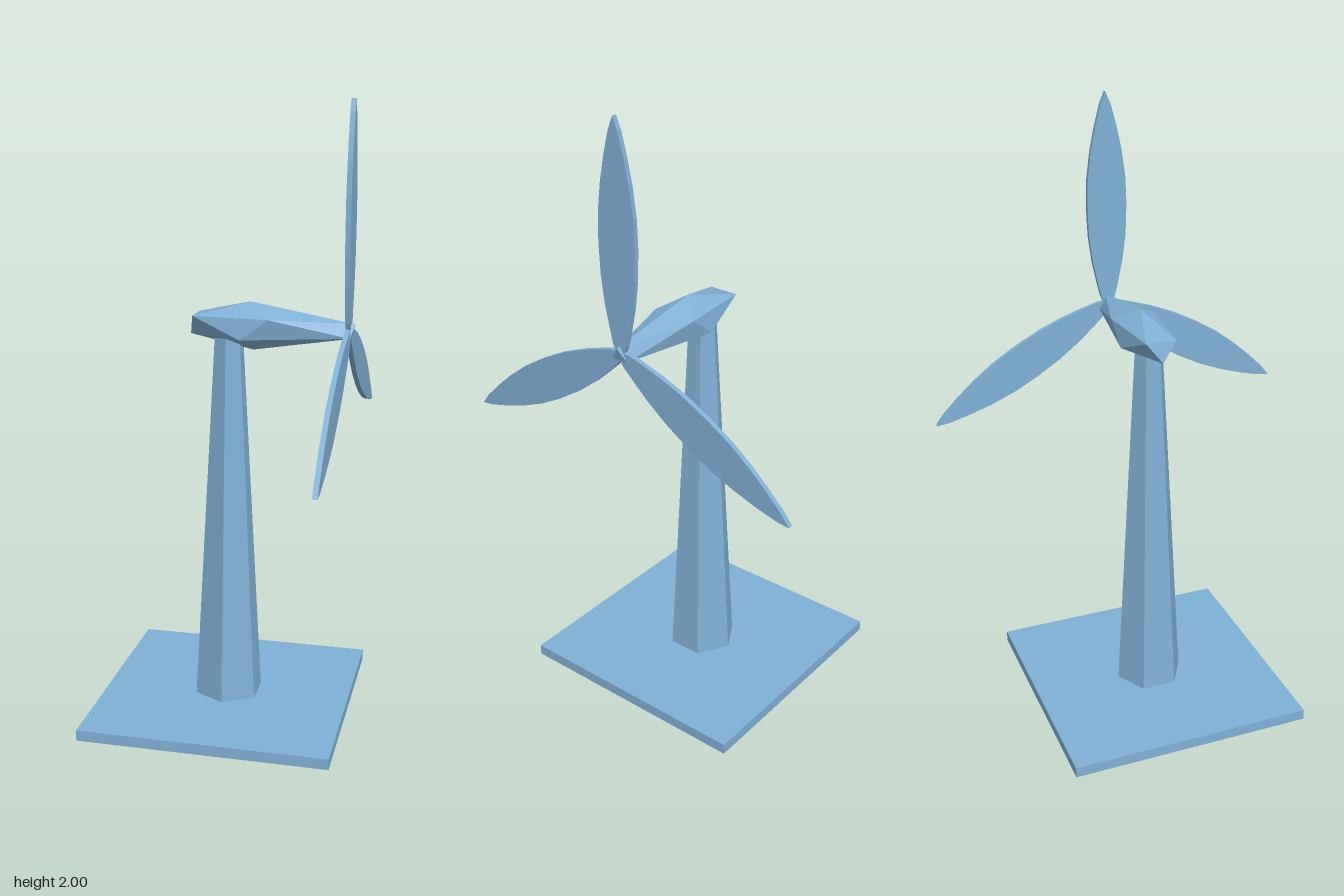
import * as THREE from 'three';
import { ConvexGeometry } from 'three/addons/geometries/ConvexGeometry.js';

const HUB = { x: 0.384, y: 1.29 };

export function createModel() {
  const group = new THREE.Group();
  const paleBlue = new THREE.MeshStandardMaterial({ color: 0x7fb0d4 });

  // Gives every face its own flat normal
  const faceted = (geometry) => {
    const flat = geometry.index ? geometry.toNonIndexed() : geometry;
    flat.computeVertexNormals();
    return flat;
  };
  const add = (name, geometry, x = 0, y = 0, z = 0) => {
    const mesh = new THREE.Mesh(faceted(geometry), paleBlue);
    mesh.name = name;
    mesh.position.set(x, y, z);
    group.add(mesh);
    return mesh;
  };

  // Square ground slab
  add('base', new THREE.BoxGeometry(0.816, 0.036, 0.816), 0, 0.018, 0);

  // Tapered six-sided tower with corners towards +z and -z
  add('tower', new THREE.CylinderGeometry(0.047, 0.115, 1.235, 6), 0, 0.6525, 0);

  // Nacelle: triangular tail, six-cornered waist, triangular nose
  const centre = [
    [-0.125, 1.265], // tail bottom
    [0.07, 1.375], // waist top
    [0.08, 1.22], // waist bottom
    [0.405, 1.315], // nose top
  ].map(([x, y]) => new THREE.Vector3(x, y, 0));
  const sides = [
    [-0.108, 1.33, 0.05], // tail
    [0.14, 1.33, 0.075], // upper waist
    [0.05, 1.262, 0.075], // lower waist
    [0.392, 1.273, 0.028], // nose
  ].flatMap(([x, y, z]) => [new THREE.Vector3(x, y, z), new THREE.Vector3(x, y, -z)]);
  add('nacelle', new ConvexGeometry([...centre, ...sides]));

  // Leaf-shaped blade outline: half width, distance from the hub
  const edge = [
    [0.012, 0], [0.025, 0.03], [0.037, 0.08], [0.052, 0.15], [0.064, 0.24],
    [0.068, 0.34], [0.065, 0.43], [0.053, 0.52], [0.036, 0.6], [0.017, 0.67],
  ];
  const outline = [
    ...edge, [0, 0.71],
    ...edge.map(([w, d]) => [-w, d]).reverse(),
  ].map(([w, d]) => new THREE.Vector2(w, d));
  const blade = new THREE.ExtrudeGeometry(new THREE.Shape(outline), {
    depth: 0.016,
    bevelEnabled: false,
  });
  blade.translate(0, 0, -0.008);
  blade.rotateY(Math.PI / 2);

  // Three blades around the hub, facing +x
  for (let i = 0; i < 3; i++) {
    add(`blade${i + 1}`, blade, HUB.x, HUB.y, 0).rotation.x = (i * Math.PI * 2) / 3;
  }

  return group;
}
